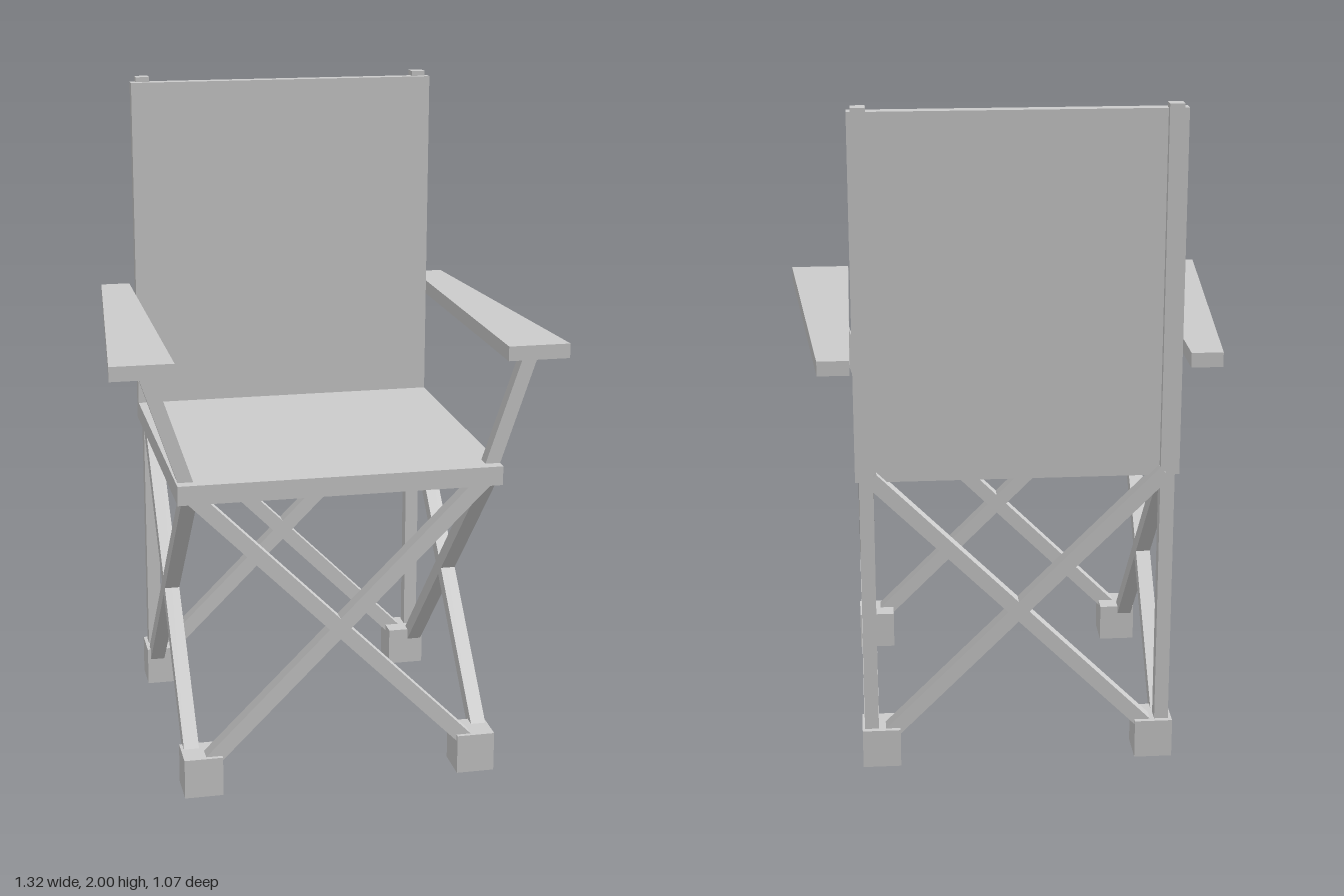
import * as THREE from 'three';

const mat = new THREE.MeshStandardMaterial({ color: 0xcccccc, flatShading: true });
const openMat = new THREE.MeshStandardMaterial({ color: 0xcccccc, flatShading: true, side: THREE.DoubleSide });

export function createModel() {
  const chair = new THREE.Group();
  chair.name = 'foldingArmchair';

  const add = (name, geometry, material = mat) => {
    const mesh = new THREE.Mesh(geometry, material);
    mesh.name = name;
    chair.add(mesh);
    return mesh;
  };

  // Box given by its minimum and maximum corners
  const box = (name, [x0, y0, z0], [x1, y1, z1]) =>
    add(name, new THREE.BoxGeometry(x1 - x0, y1 - y0, z1 - z0))
      .position.set((x0 + x1) / 2, (y0 + y1) / 2, (z0 + z1) / 2);

  // Square bar running between two points
  const bar = (name, from, to, size) => {
    const a = new THREE.Vector3(...from), b = new THREE.Vector3(...to);
    const mesh = add(name, new THREE.BoxGeometry(size, a.distanceTo(b), size));
    mesh.position.copy(a).add(b).multiplyScalar(0.5);
    mesh.quaternion.setFromUnitVectors(new THREE.Vector3(0, 1, 0), b.sub(a).normalize());
  };

  const frontZ = 0.493, backZ = -0.396, sideX = 0.44;
  const low = 0.06, high = 0.92;

  // Seat and back panels
  box('seat', [-0.478, 0.905, -0.396], [0.472, 0.962, 0.53]);
  box('backrest', [-0.478, 0.905, -0.396], [0.472, 1.985, -0.357]);

  // Crossed braces at the front and back
  for (const [name, z] of [['frontBrace', frontZ], ['backBrace', backZ]]) {
    for (const s of [-1, 1]) {
      bar(name, [-0.43 * s - 0.004, low, z], [0.43 * s - 0.004, high, z], 0.045);
    }
  }

  for (const s of [-1, 1]) {
    const side = s > 0 ? 'left' : 'right';

    // Crossed braces on each side
    bar(side + 'Brace', [sideX * s, low, 0.48], [sideX * s, high, -0.376], 0.045);
    bar(side + 'Brace', [sideX * s, low, -0.376], [sideX * s, high, 0.48], 0.045);

    // Tall rear post
    bar(side + 'Post', [sideX * s, 0.03, backZ], [sideX * s, 2, backZ], 0.042);

    // Hollow feet, open underneath
    for (const z of [0.471, -0.376]) {
      const r = 0.114 / Math.SQRT2;
      const profile = [[r, 0], [r, 0.12], [0, 0.12]].map(p => new THREE.Vector2(...p));
      add(side + 'Foot', new THREE.LatheGeometry(profile, 4, Math.PI / 4), openMat)
        .position.set(0.413 * s - 0.002, 0, z);
    }

    // Slanted armrest support
    bar(side + 'ArmSupport', [0.443 * s, 0.94, 0.475], [0.56 * s, 1.29, 0.475], 0.042);

    // Armrest widening toward the front
    const outline = [[0.479, 0.535], [0.57, 0.535], [0.662, -0.53], [0.479, -0.53]];
    const shape = new THREE.Shape(outline.map(([x, y]) => new THREE.Vector2(x * s, y)));
    const arm = add(side + 'Armrest', new THREE.ExtrudeGeometry(shape, { depth: 0.043, bevelEnabled: false }));
    arm.rotation.x = -Math.PI / 2;
    arm.position.y = 1.275;
  }

  return chair;
}
